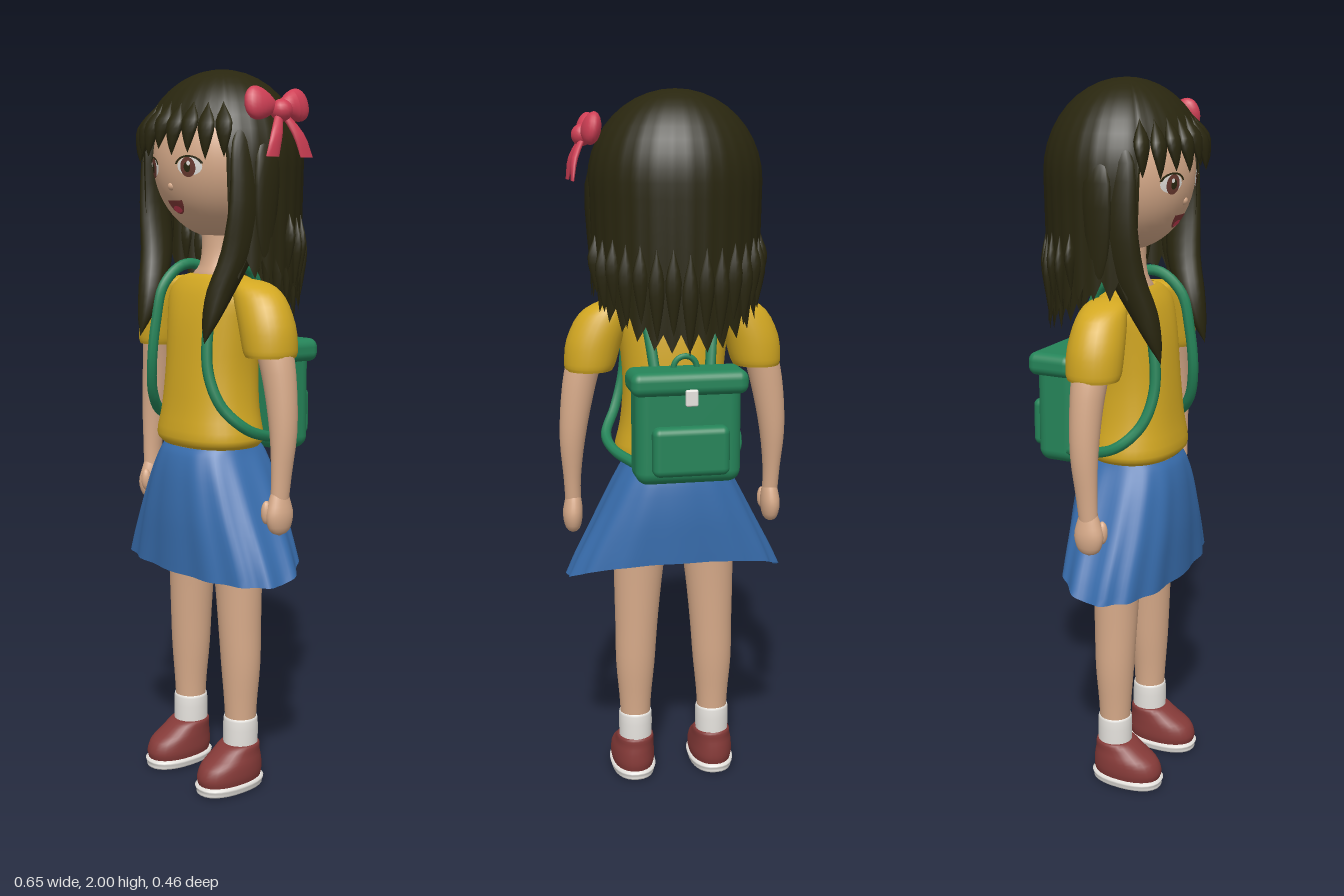
import * as THREE from 'three';
import { RoundedBoxGeometry } from 'three/addons/geometries/RoundedBoxGeometry.js';

const mat = (name, color, side = THREE.DoubleSide) => {
  const m = new THREE.MeshStandardMaterial({ color, side });
  m.name = name;
  return m;
};

// Closed-around surface: fn(angle, row) gives a point, angle 0 is the front, rows run upward
function grid(nu, nv, fn) {
  const pos = [], idx = [];
  for (let j = 0; j <= nv; j++)
    for (let i = 0; i < nu; i++) pos.push(...fn((i / nu) * Math.PI * 2, j / nv));
  for (let j = 0; j < nv; j++)
    for (let i = 0; i < nu; i++) {
      const k = (i + 1) % nu, a = j * nu + i, b = j * nu + k;
      idx.push(a, b, b + nu, a, b + nu, a + nu);
    }
  const g = new THREE.BufferGeometry();
  g.setAttribute('position', new THREE.Float32BufferAttribute(pos, 3));
  g.setIndex(idx);
  g.computeVertexNormals();
  return g;
}

// Loft through horizontal rings [y, cx, cz, rx, rz] listed from bottom to top
function loft(rings, { p = 2, nu = 28, steps = 3, warp } = {}) {
  const V = (x, y, z) => new THREE.Vector3(x, y, z);
  const mid = new THREE.CatmullRomCurve3(rings.map(r => V(r[1], r[0], r[2])), false, 'catmullrom', 0.5);
  const rad = new THREE.CatmullRomCurve3(rings.map(r => V(r[3], r[4], 0)), false, 'catmullrom', 0.5);
  const pw = v => Math.sign(v) * Math.pow(Math.abs(v), 2 / p);
  return grid(nu, (rings.length - 1) * steps, (a, t) => {
    const c = mid.getPoint(t), r = rad.getPoint(t);
    const q = [c.x + Math.max(r.x, 0) * pw(Math.sin(a)), c.y, c.z + Math.max(r.y, 0) * pw(Math.cos(a))];
    return warp ? warp(q, a, t) : q;
  });
}

export function createModel() {
  const root = new THREE.Group();
  root.name = 'girl';
  const skin = mat('skin', 0xd8ab8a), hair = mat('dark hair', 0x29260f), yellow = mat('yellow shirt', 0xd3a822);
  const blue = mat('blue skirt', 0x386dad), green = mat('green bag', 0x258459), red = mat('red ribbon', 0xcf3f55);
  const brown = mat('brown shoe', 0x853a38), white = mat('white', 0xe6e3de), eye = mat('eye brown', 0x6b3a30);
  const add = (name, geo, m, x = 0, y = 0, z = 0, parent = root) => {
    const o = new THREE.Mesh(geo, m);
    o.name = name;
    o.position.set(x, y, z);
    parent.add(o);
    return o;
  };
  const both = fn => [['left', 1], ['right', -1]].forEach(([n, s]) => fn(n, s));

  // Head and neck
  const HY = 1.76, HZ = 0.01;
  add('head', new THREE.SphereGeometry(1, 40, 28).scale(0.19, 0.21, 0.185), skin, 0, HY, HZ);
  add('neck', loft([[1.41, 0, 0.03, 0.1, 0.05], [1.45, 0, 0.03, 0.085, 0.05], [1.48, 0, 0.025, 0.055, 0.046],
    [1.53, 0, 0.02, 0.048, 0.045], [1.62, 0, 0.02, 0.05, 0.05]]), skin);
  add('nose', new THREE.SphereGeometry(0.012, 12, 8), skin, 0, 1.69, 0.178);

  // Face details: thin plates laid on the curve of the face
  const decal = (name, geo, m, x, y, lift) => {
    const g = geo.translate(x, y, 0), q = g.attributes.position;
    for (let i = 0; i < q.count; i++) {
      const u = q.getX(i) / 0.19, v = (q.getY(i) - HY) / 0.21;
      q.setZ(i, HZ + 0.185 * Math.sqrt(Math.max(0, 1 - u * u - v * v)) + lift);
    }
    g.computeVertexNormals();
    add(name, g, m);
  };
  const oval = (rx, ry) => new THREE.RingGeometry(0.001, 1, 20, 4).scale(rx, ry, 1);
  both((n, s) => {
    decal(n + 'EyeWhite', oval(0.034, 0.024), white, 0.076 * s, 1.74, 0.002);
    decal(n + 'Iris', oval(0.021, 0.026), eye, 0.074 * s, 1.738, 0.004);
    decal(n + 'Pupil', oval(0.009, 0.013), hair, 0.074 * s, 1.738, 0.006);
    decal(n + 'EyeShine', oval(0.005, 0.006), white, 0.08 * s, 1.748, 0.008);
    decal(n + 'Lash', new THREE.RingGeometry(0.92, 1.1, 16, 1, 0.25, Math.PI - 0.5).scale(0.036, 0.026, 1), hair, 0.076 * s, 1.74, 0.005);
  });
  decal('mouth', new THREE.RingGeometry(0.001, 1, 20, 4, Math.PI, Math.PI).scale(0.031, 0.036, 1), brown, 0, 1.653, 0.003);
  decal('tongue', oval(0.017, 0.009), red, 0, 1.629, 0.005);

  // Hair: jagged cap, fringe, back strands and long front locks
  const capR = y => (y > 1.76 ? Math.sqrt(Math.max(0, 1 - ((y - 1.76) / 0.24) ** 2)) : 1 - 0.1 * (1.76 - y));
  const cap = (a, y, k = 1) => [0.237 * capR(y) * Math.sin(a) * k, y, 0.01 + 0.213 * capR(y) * Math.cos(a) * k];
  const hem = a => {
    const d = Math.abs(((a * 180 / Math.PI + 180) % 360) - 180);
    const zig = Math.abs(((d / 12) % 1) - 0.5) * 2;
    if (d < 54) return 1.85 - 0.05 * zig;
    return (d < 100 ? 1.5 : 1.48 - 0.11 * Math.min(1, (d - 100) / 60)) - 0.05 * zig;
  };
  add('hairCap', grid(120, 20, (a, t) => {
    const h = hem(a), base = Math.max(h, 1.76);
    const y = t < 0.5 ? h + (base - h) * t * 2
      : 1.76 + 0.24 * Math.cos(Math.acos((base - 1.76) / 0.24) * (1 - t) * 2);
    return cap(a, y, 1 + 0.01 * Math.cos(a * 30) * (1 - t));
  }), hair);
  const strand = (name, deg, top, tip, w) => {
    const a = deg * Math.PI / 180;
    add(name, loft([0, 0.2, 0.5, 0.8, 1].map(t => {
      const c = cap(a, tip + (top - tip) * t), k = [0, 0.55, 1, 0.7, 0][Math.round(t * 4.4)] ?? 0;
      return [c[1], c[0], c[2], w * k, w * 0.65 * k];
    }), { nu: 10 }), hair);
  };
  for (let i = -4; i <= 4; i++) strand('fringeLock', i * 12.5, 1.94, 1.785 - 0.012 * (Math.abs(i) % 2) - 0.006 * Math.abs(i), 0.028);
  for (let i = -7; i <= 7; i++) strand('backStrand', 180 + i * 11, 1.66, 1.31 + 0.018 * Math.abs(i) + 0.03 * (Math.abs(i) % 2), 0.022);
  both((n, s) => {
    add(n + 'FrontLock', loft([[1.28, 0.145 * s, 0.185, 0, 0], [1.34, 0.147 * s, 0.165, 0.025, 0.02], [1.42, 0.155 * s, 0.135, 0.036, 0.04],
      [1.52, 0.18 * s, 0.1, 0.034, 0.05], [1.65, 0.2 * s, 0.09, 0.026, 0.05], [1.8, 0.195 * s, 0.09, 0.018, 0.04],
      [1.87, 0.18 * s, 0.08, 0, 0]], { nu: 16 }), hair);
    add(n + 'SideStrand', loft([[1.46, 0.222 * s, 0.03, 0, 0], [1.56, 0.222 * s, 0.04, 0.012, 0.03],
      [1.75, 0.228 * s, 0.04, 0.014, 0.04], [1.86, 0.2 * s, 0.03, 0, 0]], { nu: 12 }), hair);
  });

  // Ribbon bow on the left side of the hair
  const bow = new THREE.Group();
  bow.name = 'bow';
  bow.position.set(0.238, 1.885, 0.014);
  bow.rotation.z = 0.2;
  root.add(bow);
  add('bowKnot', new THREE.SphereGeometry(0.029, 16, 12), red, 0.012, -0.008, 0, bow);
  both((n, s) => {
    const lobe = new THREE.SphereGeometry(1, 20, 14), q = lobe.attributes.position;
    for (let i = 0; i < q.count; i++) q.setY(i, q.getY(i) * (0.75 + 0.3 * q.getZ(i)));
    lobe.scale(0.026, 0.054, 0.05).rotateX(-0.15).translate(0, 0.01, 0.055);
    lobe.computeVertexNormals();
    if (s < 0) lobe.rotateY(Math.PI);
    add(n + 'BowLoop', lobe, red, -0.002, 0, 0, bow);
    add(n + 'BowTail', loft([[-0.13, 0.022, 0.058 * s, 0.004, 0.022], [-0.07, 0.024, 0.036 * s, 0.009, 0.019],
      [0, 0.005, 0, 0.008, 0.008]], { nu: 12 }), red, 0, 0, 0, bow);
  });

  // Shirt
  add('shirtBody', loft([[0.985, 0, 0.05, 0.15, 0.112], [1.01, 0, 0.052, 0.167, 0.125], [1.09, 0, 0.05, 0.15, 0.116],
    [1.2, 0, 0.045, 0.142, 0.11], [1.32, 0, 0.04, 0.152, 0.1], [1.4, 0, 0.035, 0.165, 0.083],
    [1.44, 0, 0.03, 0.135, 0.066], [1.455, 0, 0.03, 0.088, 0.052]], { p: 2.3, nu: 40 }), yellow);
  add('midriff', loft([[0.85, 0, 0.04, 0.13, 0.1], [0.96, 0, 0.04, 0.13, 0.1], [1.05, 0, 0.045, 0.125, 0.095]]), skin);

  // Skirt: wide flare sideways, ripples at the hem, raised back hem
  add('skirt', loft([[0.635, 0, 0.045, 0.31, 0.148], [0.7, 0, 0.045, 0.282, 0.15], [0.8, 0, 0.045, 0.232, 0.152],
    [0.9, 0, 0.045, 0.182, 0.145], [0.96, 0, 0.045, 0.15, 0.132], [0.985, 0, 0.045, 0.138, 0.118]], {
    p: 2.4, nu: 96, warp: ([x, y, z], a, t) => {
      const f = 1 - t, k = 1 + 0.022 * f * Math.cos(a * 14);
      const back = Math.max(0, -Math.cos(a));
      return [x * k, y + 0.07 * back * f, z * k];
    },
  }), blue);

  both((n, s) => {
    // Arms and hands
    add(n + 'Sleeve', loft([[1.245, 0.24 * s, 0.035, 0.065, 0.07], [1.265, 0.237 * s, 0.035, 0.072, 0.075], [1.33, 0.223 * s, 0.035, 0.078, 0.075],
      [1.4, 0.19 * s, 0.034, 0.075, 0.065], [1.435, 0.155 * s, 0.032, 0.05, 0.048], [1.448, 0.13 * s, 0.03, 0, 0]]), yellow);
    add(n + 'Arm', loft([[0.86, 0.29 * s, 0.045, 0.022, 0.026], [0.94, 0.292 * s, 0.04, 0.025, 0.03], [1.05, 0.29 * s, 0.033, 0.036, 0.038],
      [1.17, 0.275 * s, 0.032, 0.045, 0.044], [1.27, 0.252 * s, 0.035, 0.05, 0.05], [1.36, 0.21 * s, 0.035, 0.05, 0.05]]), skin);
    add(n + 'Hand', loft([[0.77, 0.292 * s, 0.046, 0, 0], [0.785, 0.292 * s, 0.046, 0.02, 0.03], [0.825, 0.292 * s, 0.046, 0.028, 0.042],
      [0.865, 0.29 * s, 0.045, 0.024, 0.033], [0.89, 0.29 * s, 0.045, 0.018, 0.024]]), skin);
    add(n + 'Thumb', new THREE.SphereGeometry(1, 14, 10).scale(0.014, 0.032, 0.015), skin, 0.275 * s, 0.835, 0.078);

    // Legs, socks and shoes
    add(n + 'Leg', loft([[0.15, 0.117 * s, 0.035, 0.042, 0.042], [0.25, 0.117 * s, 0.035, 0.047, 0.047], [0.36, 0.116 * s, 0.034, 0.057, 0.055],
      [0.48, 0.112 * s, 0.035, 0.062, 0.06], [0.62, 0.106 * s, 0.036, 0.07, 0.066], [0.78, 0.095 * s, 0.04, 0.08, 0.078],
      [0.9, 0.075 * s, 0.04, 0.07, 0.08]]), skin);
    add(n + 'Sock', loft([[0.1, 0.117 * s, 0.035, 0.048, 0.05], [0.2, 0.117 * s, 0.035, 0.049, 0.049], [0.202, 0.117 * s, 0.035, 0.04, 0.04]]), white);
    add(n + 'Sole', loft([[0, 0.12 * s, 0.078, 0, 0], [0.002, 0.12 * s, 0.078, 0.055, 0.095], [0.014, 0.12 * s, 0.078, 0.064, 0.104],
      [0.03, 0.12 * s, 0.078, 0.062, 0.1], [0.034, 0.12 * s, 0.078, 0, 0]], { p: 2.3 }), white);
    add(n + 'Shoe', loft([[0.028, 0.12 * s, 0.078, 0.06, 0.1], [0.05, 0.12 * s, 0.078, 0.064, 0.104], [0.08, 0.12 * s, 0.072, 0.062, 0.096],
      [0.105, 0.118 * s, 0.055, 0.057, 0.075], [0.128, 0.117 * s, 0.038, 0.053, 0.056], [0.13, 0.117 * s, 0.036, 0.04, 0.04]], { p: 2.2 }), brown);

    // Shoulder straps
    const path = new THREE.CatmullRomCurve3([[0.075, 1.24, -0.1], [0.09, 1.37, -0.06], [0.107, 1.47, 0], [0.112, 1.475, 0.06],
      [0.115, 1.42, 0.125], [0.118, 1.32, 0.15], [0.128, 1.2, 0.158], [0.155, 1.11, 0.135], [0.188, 1.05, 0.08],
      [0.178, 1.02, 0], [0.13, 1.0, -0.1]].map(([x, y, z]) => new THREE.Vector3(x * s, y, z)));
    add(n + 'Strap', new THREE.TubeGeometry(path, 60, 0.015, 8), green);
  });

  // Backpack
  const box = (name, w, h, d, r, m, y, z) => add(name, new RoundedBoxGeometry(w, h, d, 4, r), m, 0, y, z);
  box('bagBody', 0.29, 0.29, 0.125, 0.035, green, 1.105, -0.138);
  box('bagFlap', 0.32, 0.065, 0.138, 0.025, green, 1.24, -0.15);
  box('bagPocket', 0.21, 0.135, 0.06, 0.02, green, 1.058, -0.205);
  box('bagClasp', 0.034, 0.045, 0.014, 0.005, white, 1.205, -0.221);
  add('bagHandle', new THREE.TorusGeometry(0.032, 0.008, 8, 20, Math.PI), green, 0, 1.27, -0.13);
  return root;
}
